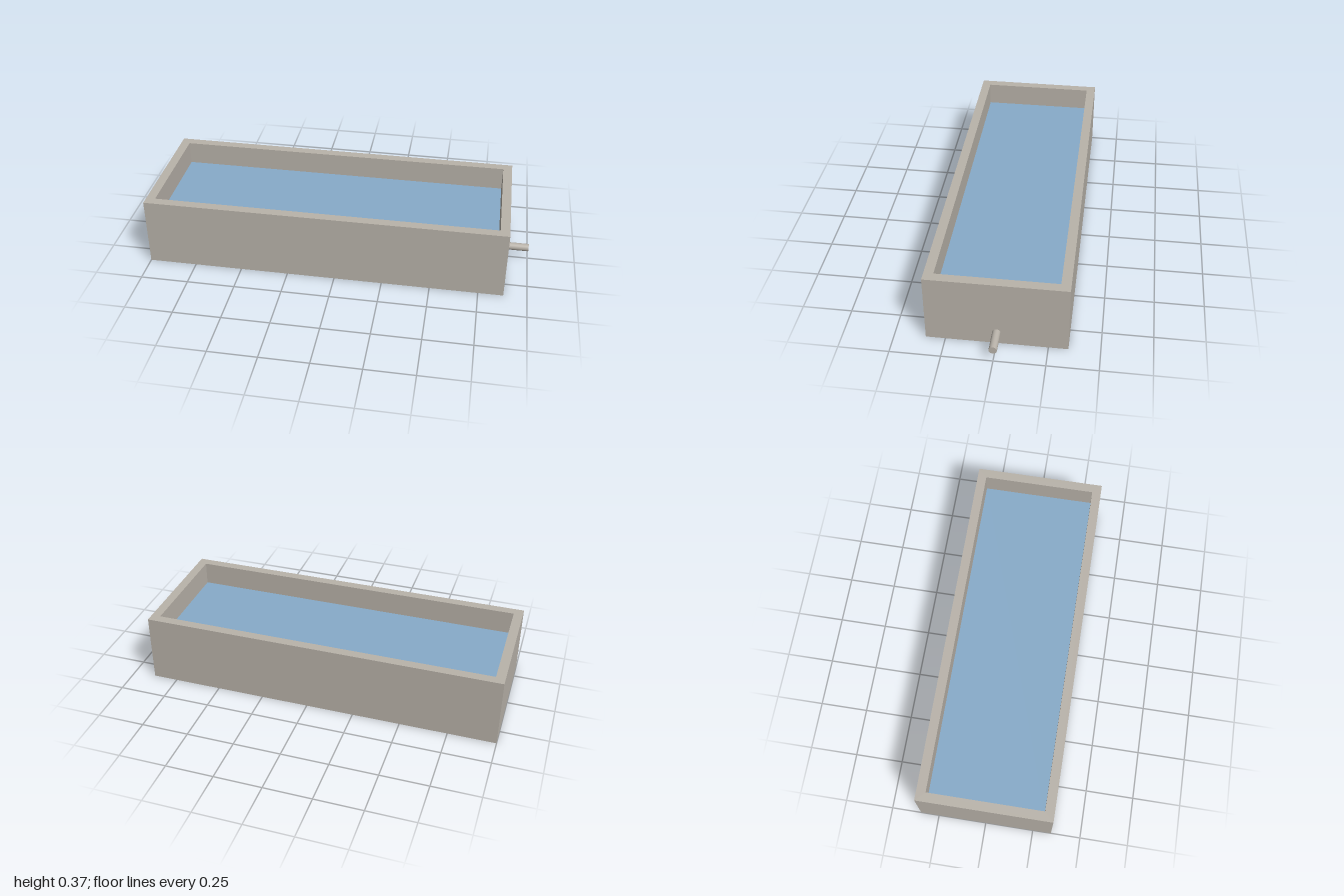
import * as THREE from 'three';

export function createModel() {
  const model = new THREE.Group();
  const stone = new THREE.MeshStandardMaterial({ color: 0xb9b3aa });
  stone.name = 'stone';
  const waterBlue = new THREE.MeshStandardMaterial({ color: 0x87abc9 });
  waterBlue.name = 'water blue';

  const x0 = -1, x1 = 0.88, halfZ = 0.346, height = 0.367;
  const wall = 0.048, floorTop = 0.05, waterTop = 0.242;
  const midX = (x0 + x1) / 2;

  function add(name, geometry, material, x, y, z) {
    const mesh = new THREE.Mesh(geometry, material);
    mesh.name = name;
    mesh.position.set(x, y, z);
    model.add(mesh);
    return mesh;
  }

  // Rectangle outline in plan
  function rectangle(Type, inset) {
    const a = x0 + inset, b = x1 - inset, c = halfZ - inset;
    return new Type([[a, -c], [b, -c], [b, c], [a, c]].map(([x, z]) => new THREE.Vector2(x, z)));
  }

  // Trough walls: a rectangular ring rising from the floor
  const ring = rectangle(THREE.Shape, 0);
  ring.holes.push(rectangle(THREE.Path, wall));
  const wallGeometry = new THREE.ExtrudeGeometry(ring, { depth: height - floorTop, bevelEnabled: false });
  wallGeometry.rotateX(-Math.PI / 2);
  add('troughWalls', wallGeometry, stone, 0, floorTop, 0);

  // Trough floor
  add('troughFloor', new THREE.BoxGeometry(x1 - x0, floorTop, halfZ * 2), stone, midX, floorTop / 2, 0);

  // Water filling the basin
  add('water', new THREE.BoxGeometry(x1 - x0 - wall * 2, waterTop - floorTop, (halfZ - wall) * 2),
    waterBlue, midX, (waterTop + floorTop) / 2, 0);

  // Drain pipe through the end wall
  const pipeGeometry = new THREE.CylinderGeometry(0.02, 0.02, 1 - x1 + 0.02, 32);
  pipeGeometry.rotateZ(-Math.PI / 2);
  add('drainPipe', pipeGeometry, stone, (1 + x1 - 0.02) / 2, 0.07, 0);

  return model;
}
